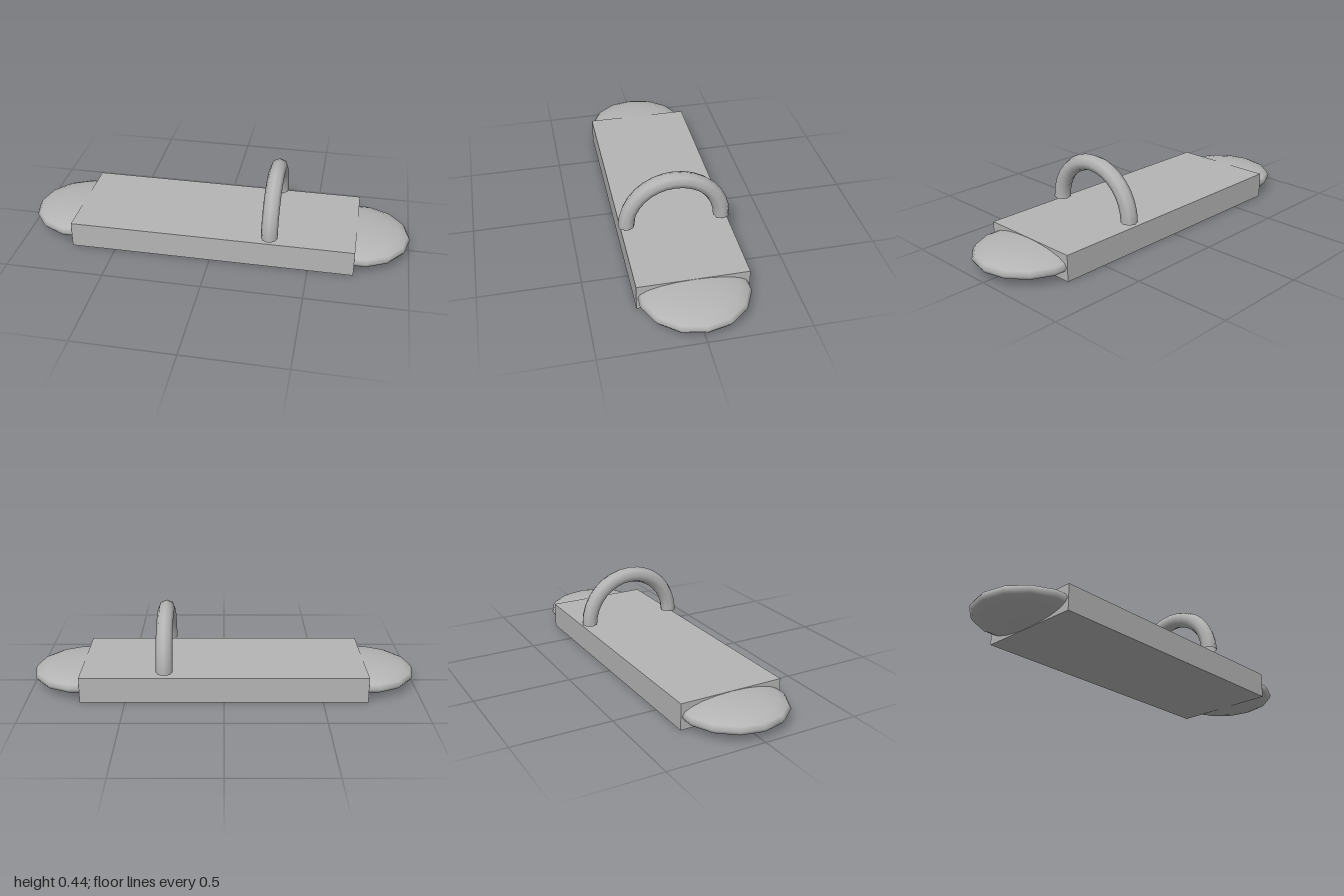
import * as THREE from 'three';

export function createModel() {
  const model = new THREE.Group();
  model.name = 'boardWithArch';

  const grey = new THREE.MeshStandardMaterial({ color: 0xb4b4b4, side: THREE.DoubleSide });
  grey.name = 'grey';

  function add(name, geometry, x, y, z) {
    const mesh = new THREE.Mesh(geometry, grey);
    mesh.name = name;
    mesh.position.set(x, y, z);
    model.add(mesh);
    return mesh;
  }

  const halfLength = 0.728, thickness = 0.133, width = 0.544;

  // Flat rectangular deck
  add('deck', new THREE.BoxGeometry(halfLength * 2, thickness, width), 0, thickness / 2, 0);

  // Flattened rounded nose and tail
  for (const side of [-1, 1]) {
    const end = add(side > 0 ? 'leftEnd' : 'rightEnd',
      new THREE.SphereGeometry(0.272, 14, 10), side * halfLength, thickness / 2, 0);
    end.scale.y = 0.24;
  }

  // Half-ring handle spanning the deck, open at its feet
  const arch = add('archHandle',
    new THREE.TorusGeometry(0.243, 0.042, 8, 16, Math.PI), 0.3, 0.152, 0);
  arch.rotation.y = Math.PI / 2;

  return model;
}
